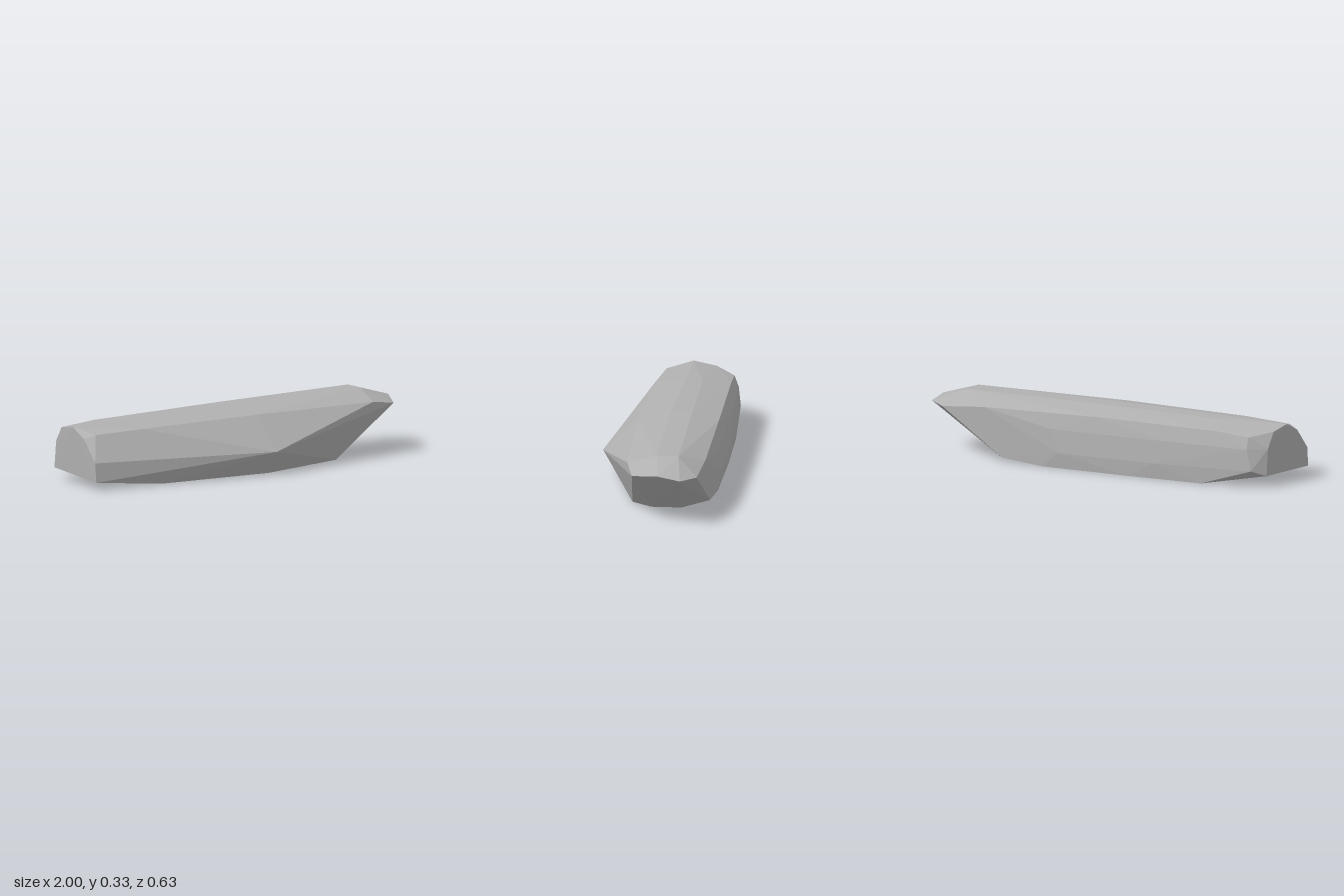
import * as THREE from 'three';
import { ConvexGeometry } from 'three/addons/geometries/ConvexGeometry.js';

export function createModel() {
  const group = new THREE.Group();
  group.name = 'facetedHull';
  const grey = new THREE.MeshStandardMaterial({ color: 0xb0b0b0 });
  grey.name = 'stone grey';

  // Corner rings of the faceted solid, each point as x, y, z
  const tail = [
    [-1, 0.04, 0.165], [-1, 0.14, 0.155], [-0.995, 0.25, 0.05], [-0.99, 0.3, -0.06],
    [-0.975, 0.28, -0.18], [-0.97, 0.06, -0.25], [-0.97, 0.2, -0.235],
  ];
  const base = [
    [-0.6, 0, 0.19], [0.03, 0, 0.242], [0.54, 0, 0.12], [0.62, 0, 0.015],
    [0.62, 0, -0.14], [0.54, 0.02, -0.28], [0.3, 0, -0.3], [-0.2, 0, -0.312], [-0.62, 0, -0.311],
  ];
  const frontSide = [
    [0.03, 0.12, 0.317], [-0.94, 0.27, 0.075], [-0.67, 0.28, 0.108],
    [0.03, 0.289, 0.14], [0.77, 0.28, 0.127],
  ];
  const top = [
    [0.8, 0.33, -0.03], [0.8, 0.33, -0.14], [0, 0.321, -0.03], [0, 0.321, -0.14],
    [-0.6, 0.311, -0.05], [-0.6, 0.309, -0.14],
  ];
  const nose = [
    [0.925, 0.255, 0.09], [0.99, 0.275, -0.05], [1, 0.255, -0.165], [0.9, 0.248, -0.243],
  ];
  const backSide = [
    [0.65, 0.272, -0.268], [0, 0.284, -0.278], [-0.7, 0.276, -0.28], [-0.88, 0.26, -0.28],
    [0.25, 0.2, -0.296], [-0.4, 0.2, -0.304], [-0.88, 0.2, -0.302],
    [0.2, 0.08, -0.309], [-0.35, 0.08, -0.317], [-0.91, 0.09, -0.31],
  ];

  const points = [tail, base, frontSide, top, nose, backSide].flat()
    .map((p) => new THREE.Vector3(...p));
  const body = new THREE.Mesh(new ConvexGeometry(points), grey);
  body.name = 'body';
  group.add(body);
  return group;
}
